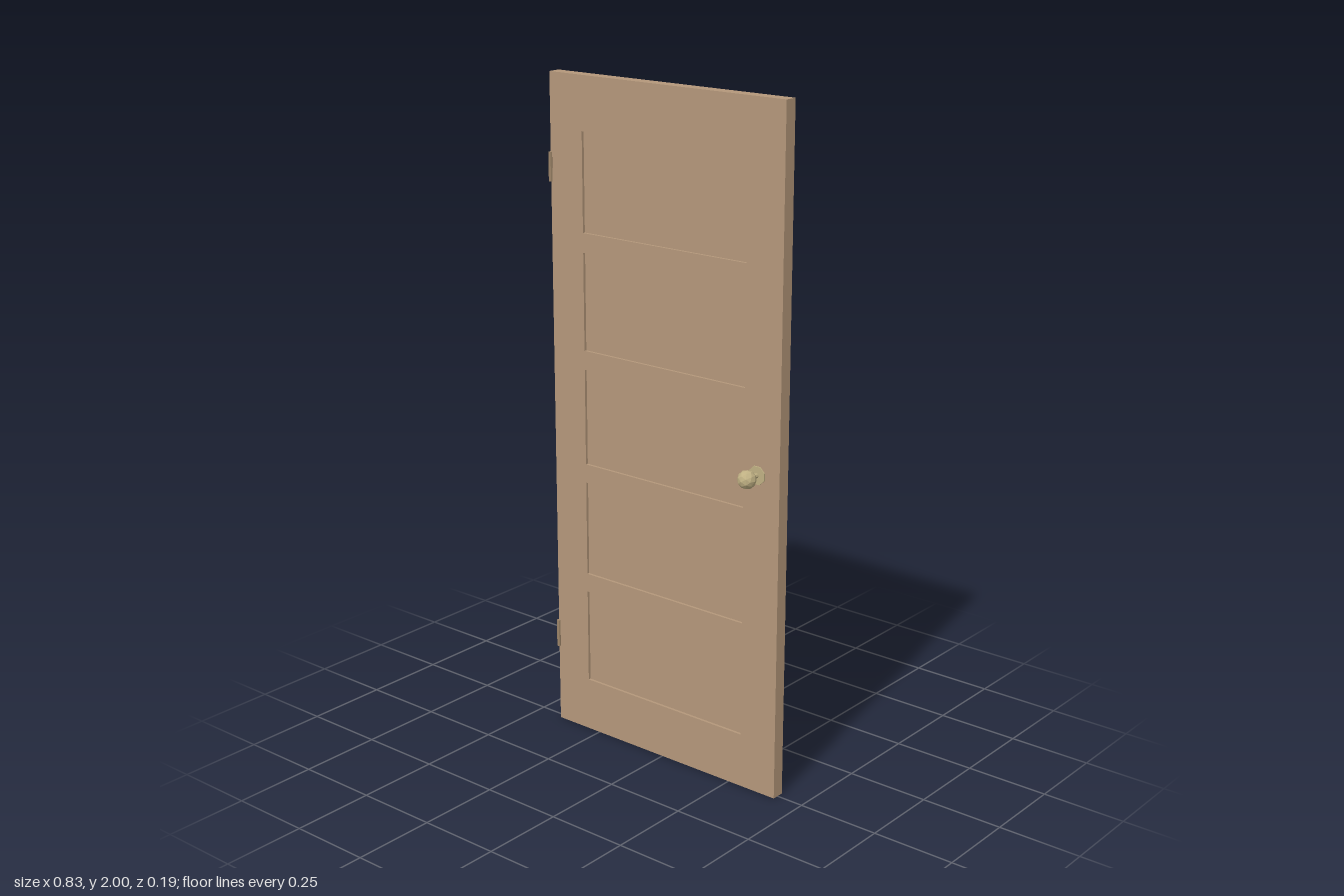
import * as THREE from 'three';

const wood = new THREE.MeshStandardMaterial({ name: 'wood', color: 0xb4977a });
const brass = new THREE.MeshStandardMaterial({ name: 'brass', color: 0xbfb083, flatShading: true });
const hingeMetal = new THREE.MeshStandardMaterial({ name: 'hingeMetal', color: 0x9c8468, flatShading: true });

const LEFT = -0.411, RIGHT = 0.415, HEIGHT = 2, THICK = 0.039, MID_Z = -0.001;
const PANEL_W = 0.584, PANEL_H = 0.29, RECESS = 0.008;
const panelCentres = [0, 1, 2, 3, 4].map(i => 0.309 + i * 0.3473);

function addMesh(parent, name, geometry, material, x = 0, y = 0, z = 0) {
  const mesh = new THREE.Mesh(geometry, material);
  mesh.name = name;
  mesh.position.set(x, y, z);
  parent.add(mesh);
  return mesh;
}

function rectangle(path, x0, y0, x1, y1) {
  path.moveTo(x0, y0);
  path.lineTo(x1, y0);
  path.lineTo(x1, y1);
  path.lineTo(x0, y1);
  path.closePath();
  return path;
}

// Door frame with five openings, each filled by a thinner recessed panel
function createLeaf() {
  const leaf = new THREE.Group();
  leaf.name = 'doorLeaf';
  const outline = rectangle(new THREE.Shape(), LEFT, 0, RIGHT, HEIGHT);
  for (const y of panelCentres) {
    outline.holes.push(rectangle(new THREE.Path(),
      -PANEL_W / 2, y - PANEL_H / 2, PANEL_W / 2, y + PANEL_H / 2));
  }
  const frame = new THREE.ExtrudeGeometry(outline, { depth: THICK, bevelEnabled: false });
  addMesh(leaf, 'frame', frame, wood, 0, 0, -THICK / 2);
  panelCentres.forEach((y, i) => addMesh(leaf, `panel${i + 1}`,
    new THREE.BoxGeometry(PANEL_W, PANEL_H, THICK - 2 * RECESS), wood, 0, y, 0));
  return leaf;
}

// Knob pointing along +z, starting at the door's face
function createKnob(name) {
  const knob = new THREE.Group();
  knob.name = name;
  const rosette = new THREE.CylinderGeometry(0.028, 0.028, 0.004, 8)
    .rotateY(Math.PI / 8).rotateX(Math.PI / 2);
  addMesh(knob, 'rosette', rosette, brass, 0, 0, 0.002);
  const stem = new THREE.CylinderGeometry(0.0075, 0.0075, 0.03, 8).rotateX(Math.PI / 2);
  addMesh(knob, 'stem', stem, brass, 0, 0, 0.017);
  addMesh(knob, 'ball', new THREE.IcosahedronGeometry(0.027, 1), brass, 0, 0, 0.047);
  return knob;
}

export function createModel() {
  const door = new THREE.Group();
  door.name = 'door';

  const body = createLeaf();
  body.position.z = MID_Z;
  door.add(body);

  // Matching knobs on both faces
  for (const side of [1, -1]) {
    const knob = createKnob(side > 0 ? 'frontKnob' : 'backKnob');
    knob.position.set(0.339, 0.965, MID_Z + side * THICK / 2);
    if (side < 0) knob.rotation.y = Math.PI;
    door.add(knob);
  }

  // Hinge barrels on the front corner of the hinged edge
  for (const [name, y] of [['lowerHinge', 0.287], ['upperHinge', 1.73]]) {
    addMesh(door, name, new THREE.CylinderGeometry(0.006, 0.006, 0.085, 8),
      hingeMetal, LEFT, y, 0.02);
  }
  return door;
}
